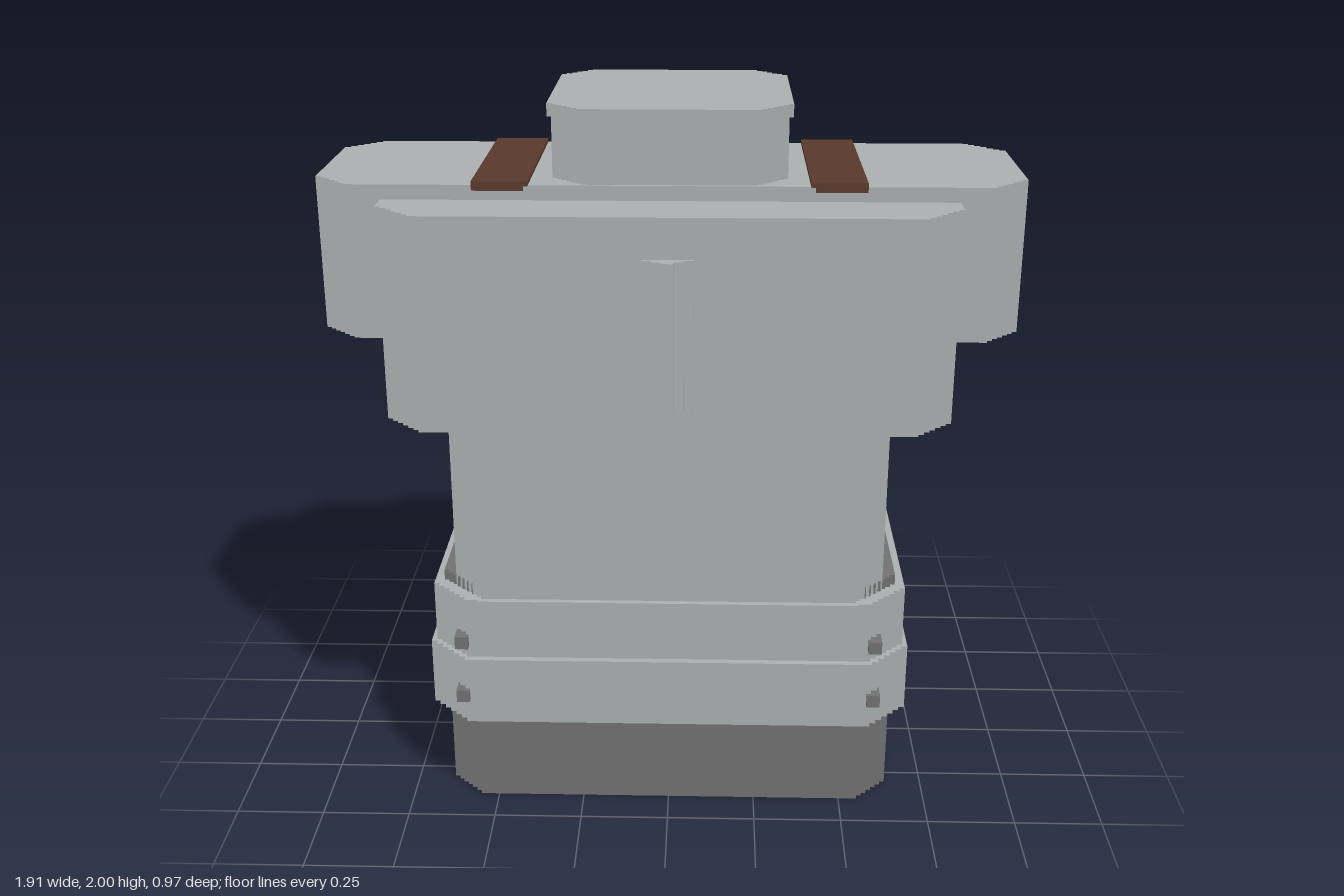
import * as THREE from 'three';

const lightGrey = new THREE.MeshStandardMaterial({ name: 'light grey', color: 0xadb1b1, flatShading: true });
const darkGrey = new THREE.MeshStandardMaterial({ name: 'dark grey', color: 0x737373, flatShading: true });
const brown = new THREE.MeshStandardMaterial({ name: 'brown', color: 0x5a392c, flatShading: true });

// Upright block whose four vertical corners are cut back in small steps
function steppedBlock(name, material, halfX, [y0, y1], [z0, z1], cut, steps = 6) {
  const halfZ = (z1 - z0) / 2;
  const s = cut / steps;
  const corner = [];
  for (let i = 0; i <= steps; i++) {
    corner.push([halfX - i * s, halfZ - cut + i * s]);
    if (i < steps) corner.push([halfX - (i + 1) * s, halfZ - cut + i * s]);
  }
  const mirrored = [...corner].reverse();
  const outline = [
    ...corner,
    ...mirrored.map(([x, z]) => [-x, z]),
    ...corner.map(([x, z]) => [-x, -z]),
    ...mirrored.map(([x, z]) => [x, -z]),
  ].map(([x, z]) => new THREE.Vector2(x, z));
  const geometry = new THREE.ExtrudeGeometry(new THREE.Shape(outline), { depth: y1 - y0, bevelEnabled: false });
  geometry.rotateX(-Math.PI / 2);
  const mesh = new THREE.Mesh(geometry, material);
  mesh.name = name;
  mesh.position.set(0, y0, (z0 + z1) / 2);
  return mesh;
}

// Plain box given by its extents
function box(name, material, [x0, x1], [y0, y1], [z0, z1]) {
  const mesh = new THREE.Mesh(new THREE.BoxGeometry(x1 - x0, y1 - y0, z1 - z0), material);
  mesh.name = name;
  mesh.position.set((x0 + x1) / 2, (y0 + y1) / 2, (z0 + z1) / 2);
  return mesh;
}

export function createModel() {
  const model = new THREE.Group();
  model.name = 'steppedTower';

  // Dark core, seen as the base and as a thin lip above the collars
  model.add(steppedBlock('base', darkGrey, 0.643, [0, 0.69], [-0.43, 0.39], 0.09));

  // Collars and the raised bar on the upper one, front and back
  model.add(steppedBlock('lowerCollar', lightGrey, 0.685, [0.28, 0.48], [-0.485, 0.445], 0.11));
  model.add(steppedBlock('upperCollar', lightGrey, 0.67, [0.48, 0.66], [-0.458, 0.425], 0.1));
  model.add(box('collarBar', lightGrey, [-0.53, 0.53], [0.62, 0.66], [-0.47, 0.435]));

  // Body, head and arms
  model.add(steppedBlock('body', lightGrey, 0.603, [0.64, 1.18], [-0.453, 0.418], 0.08));
  model.add(steppedBlock('head', lightGrey, 0.765, [1.17, 1.76], [-0.485, 0.445], 0.1));
  model.add(steppedBlock('arms', lightGrey, 0.955, [1.375, 1.8], [-0.305, 0.265], 0.095));

  // Neck and cap
  model.add(steppedBlock('neck', lightGrey, 0.315, [1.79, 1.97], [-0.36, 0.255], 0.08));
  model.add(steppedBlock('cap', lightGrey, 0.326, [1.965, 2], [-0.375, 0.265], 0.085));

  // Stepped ridge on the front of the head
  const ridge = new THREE.Group();
  ridge.name = 'frontRidge';
  [[0.067, 0.455], [0.042, 0.468], [0.016, 0.485]].forEach(([half, z], i) =>
    ridge.add(box(`ridgeStep${i + 1}`, lightGrey, [-half, half], [1.24, 1.65], [0.43, z])));
  model.add(ridge);

  // Brown straps across the arms and studs on the collars
  for (const side of [-1, 1]) {
    const label = side > 0 ? 'left' : 'right';
    const span = (a, b) => (side > 0 ? [a, b] : [-b, -a]);
    model.add(box(`${label}Strap`, brown, span(0.372, 0.522), [1.797, 1.81], [-0.307, 0.267]));
    model.add(box(`${label}StrapUnderside`, brown, span(0.385, 0.522), [1.785, 1.797], [-0.307, 0.267]));
    model.add(box(`${label}LowerStud`, darkGrey, span(0.563, 0.6), [0.35, 0.387], [0.4, 0.457]));
    model.add(box(`${label}UpperStud`, darkGrey, span(0.563, 0.6), [0.513, 0.55], [0.38, 0.443]));
  }

  return model;
}
